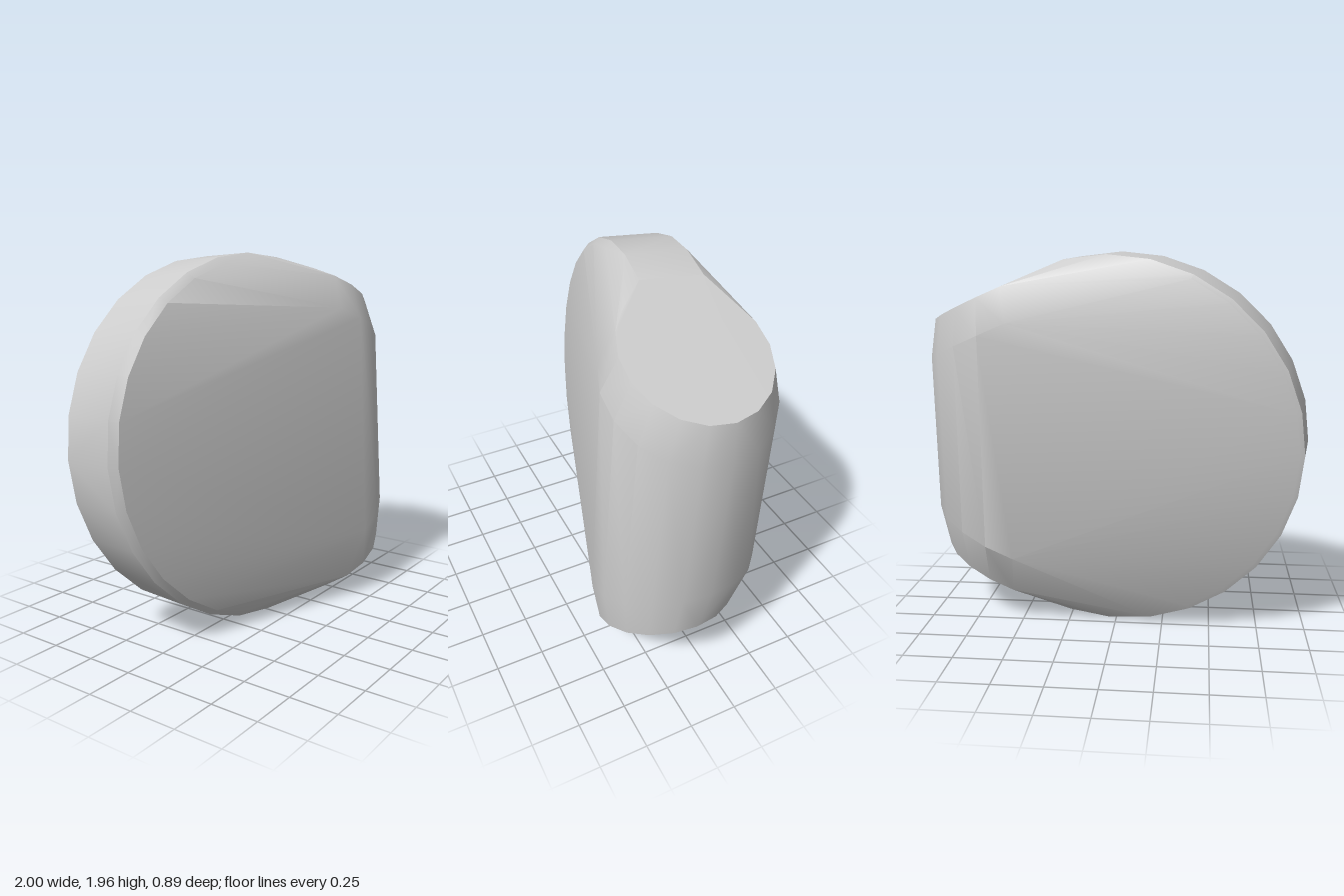
import * as THREE from 'three';
import { ConvexGeometry } from 'three/addons/geometries/ConvexGeometry.js';
import { toCreasedNormals } from 'three/addons/utils/BufferGeometryUtils.js';

// Rim of the thin, tilted disc; the side facing the roll is left open
function discRim(cx, cy, cz, rx, ry) {
  const points = [];
  const sides = 28;
  for (let i = 0; i < sides; i++) {
    const a = (i / sides) * Math.PI * 2;
    const x = cx + rx * Math.cos(a);
    const dy = ry * Math.sin(a);
    if (x < 0.3) points.push(new THREE.Vector3(x, cy + dy, cz + 0.155 * (x - cx) - 0.07 * dy));
  }
  return points;
}

// Ring around the upright roll, sloped along x to follow its slanted end
function rollRing(cx, cy, cz, rx, rz, slope) {
  const points = [];
  const sides = 18;
  for (let i = 0; i < sides; i++) {
    const a = (i / sides) * Math.PI * 2;
    const dx = rx * Math.cos(a);
    points.push(new THREE.Vector3(cx + dx, cy + slope * dx, cz + rz * Math.sin(a)));
  }
  return points;
}

export function createModel() {
  const group = new THREE.Group();
  group.name = 'roundedWedge';

  const points = [
    // disc: front face, front rim, back rim, back face
    ...discRim(-0.015, 0.985, 0.1, 0.955, 0.94),
    ...discRim(-0.015, 0.985, 0.065, 0.985, 0.97),
    ...discRim(0.035, 0.968, -0.25, 0.985, 0.968),
    ...discRim(0.035, 0.968, -0.26, 0.96, 0.945),
    // roll: top cap, top shoulder, bottom shoulder, bottom cap
    ...rollRing(0.61, 1.755, -0.045, 0.36, 0.355, -0.43),
    ...rollRing(0.59, 1.575, -0.03, 0.41, 0.42, -0.43),
    ...rollRing(0.59, 0.42, 0.025, 0.41, 0.43, 0.44),
    ...rollRing(0.61, 0.2, 0.075, 0.36, 0.355, 0.44),
  ];

  // One taut skin stretched over the disc and the roll
  const body = new THREE.Mesh(
    toCreasedNormals(new ConvexGeometry(points), 0.45),
    new THREE.MeshStandardMaterial({ color: 0xcccccc })
  );
  body.name = 'body';
  group.add(body);
  return group;
}
